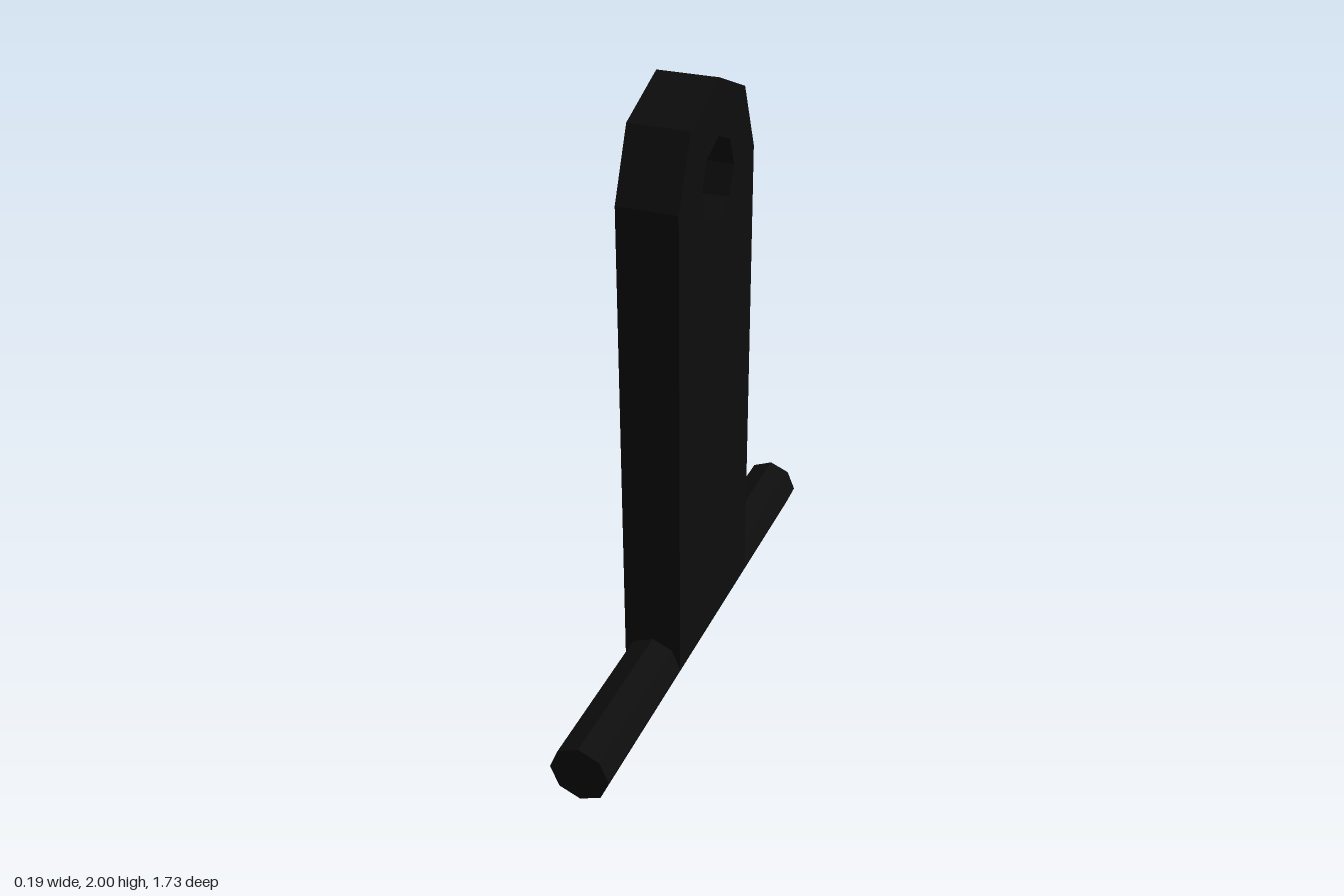
import * as THREE from 'three';

const ROD_RADIUS = 0.097;
const ROD_LENGTH = 1.73;
const PLATE_RADIUS = 0.305;
const HOLE_RADIUS = 0.131;
const EYE_HEIGHT = 2 - PLATE_RADIUS;

// Corners of an octagon around the eye, from one corner index to another
function octagonPoints(radius, first, last) {
  const points = [];
  for (let i = first; i <= last; i++) {
    const a = (i * Math.PI) / 4;
    points.push(new THREE.Vector2(Math.cos(a) * radius, EYE_HEIGHT + Math.sin(a) * radius));
  }
  return points;
}

export function createModel() {
  const group = new THREE.Group();
  group.name = 'toggleBarWithEyePlate';

  const blackMetal = new THREE.MeshStandardMaterial({ color: 0x0d0d0d });
  blackMetal.name = 'black metal';
  blackMetal.flatShading = true;

  // Upright plate: straight sides, faceted round top, octagonal eye
  const outline = new THREE.Shape([
    new THREE.Vector2(-PLATE_RADIUS, ROD_RADIUS),
    new THREE.Vector2(PLATE_RADIUS, ROD_RADIUS),
    ...octagonPoints(PLATE_RADIUS, 0, 4),
  ]);
  outline.holes.push(new THREE.Path(octagonPoints(HOLE_RADIUS, 0, 7).reverse()));
  const plateGeometry = new THREE.ExtrudeGeometry(outline, {
    depth: ROD_RADIUS * 2,
    bevelEnabled: false,
  });
  plateGeometry.translate(0, 0, -ROD_RADIUS);
  plateGeometry.rotateY(Math.PI / 2);
  const plate = new THREE.Mesh(plateGeometry, blackMetal);
  plate.name = 'eyePlate';
  group.add(plate);

  // Eight-sided crossbar lying along z at the foot
  const rodGeometry = new THREE.CylinderGeometry(ROD_RADIUS, ROD_RADIUS, ROD_LENGTH, 8);
  rodGeometry.rotateX(Math.PI / 2);
  const rod = new THREE.Mesh(rodGeometry, blackMetal);
  rod.name = 'crossbar';
  rod.position.y = ROD_RADIUS;
  group.add(rod);

  return group;
}
